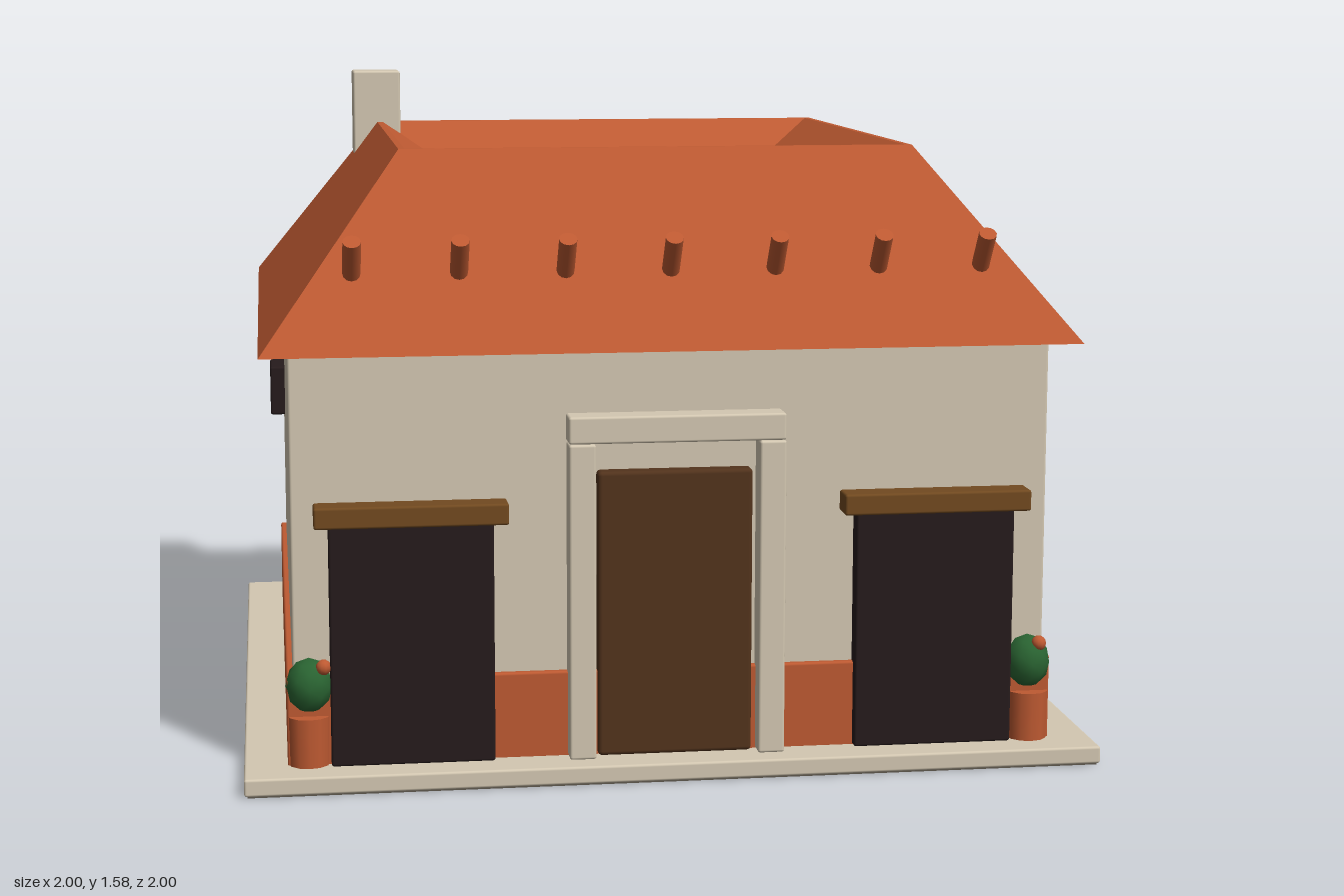
import * as THREE from 'three';
import { RoundedBoxGeometry } from 'three/addons/geometries/RoundedBoxGeometry.js';

const paint = (name, color) => {
  const m = new THREE.MeshStandardMaterial({ color });
  m.name = name;
  return m;
};

export function createModel() {
  const plaster = paint('plaster', 0xd4c8b2);
  const terracotta = paint('terracotta', 0xbe5a32);
  const darkOpening = paint('dark opening', 0x261b1c);
  const doorWood = paint('door wood', 0x52331c);
  const beamWood = paint('beam wood', 0x724a20);
  const leaf = paint('leaf green', 0x2a6432);
  const water = paint('water', 0x3e80b4);
  const footing = paint('dark footing', 0x5f584d);

  const house = new THREE.Group();
  house.name = 'courtyardHouse';

  const add = (name, geometry, material, x = 0, y = 0, z = 0) => {
    const mesh = new THREE.Mesh(geometry, material);
    mesh.name = name;
    mesh.position.set(x, y, z);
    house.add(mesh);
    return mesh;
  };
  // Softly bevelled box given by its extents
  const box = (name, material, [x0, x1], [y0, y1], [z0, z1], bevel = 0.006) =>
    add(name, new RoundedBoxGeometry(x1 - x0, y1 - y0, z1 - z0, 2, bevel), material,
      (x0 + x1) / 2, (y0 + y1) / 2, (z0 + z1) / 2);

  // Base, walls and painted skirting
  add('footing', new THREE.BoxGeometry(1.985, 0.008, 1.985), footing, 0, 0.004, 0);
  box('baseSlab', plaster, [-1, 1], [0.004, 0.045], [-1, 1]);
  box('walls', plaster, [-0.885, 0.885], [0.03, 1.0], [-0.885, 0.885]);
  box('skirting', terracotta, [-0.9, 0.9], [0.04, 0.246], [-0.9, 0.9]);

  // Hipped roof falling inward to a square light well: [half width, height]
  const profile = [
    [0.27, 0.997], [0.95, 0.997], [0.615, 1.44], [0.6, 1.44], [0.27, 1.22], [0.27, 0.997],
  ].map(([half, y]) => new THREE.Vector2(half * Math.SQRT2, y));
  const roof = new THREE.LatheGeometry(profile, 4, Math.PI / 4).toNonIndexed();
  roof.computeVertexNormals();
  add('roof', roof, terracotta);
  box('pool', water, [-0.27, 0.27], [0.97, 1.04], [-0.27, 0.27]);
  box('chimney', plaster, [-0.68, -0.551], [1.2, 1.58], [-0.68, -0.551]);

  // Row of roof beams poking out of the front slope
  const beam = new THREE.CylinderGeometry(0.021, 0.021, 0.2, 12);
  for (let i = -3; i <= 3; i++) {
    add('roofBeam', beam, terracotta, i * 0.245, 1.17, 0.816).rotation.x = 0.65;
  }

  // Front door with its surround
  box('door', doorWood, [-0.183, 0.178], [0.045, 0.717], [0.86, 0.92], 0.01);
  box('doorLintel', plaster, [-0.253, 0.25], [0.787, 0.85], [0.87, 0.95]);

  for (const s of [-1, 1]) {
    const span = (a, b) => (s > 0 ? [a, b] : [-b, -a]);
    box('doorPost', plaster, span(0.19, 0.252), [0.045, 0.785], [0.87, 0.945]);

    // Shop openings and their timber lintels
    box('shopOpening', darkOpening, span(0.423, 0.8), [0.045, 0.608], [0.87, 0.925]);
    box('shopLintel', beamWood, span(0.39, 0.833), [0.605, 0.655], [0.87, 0.95]);

    // Side window
    box('sideWindow', darkOpening, span(0.86, 0.923), [0.673, 0.803], [-0.41, -0.257]);

    // Potted plant at the corner
    add('plantPot', new THREE.CylinderGeometry(0.05, 0.048, 0.12, 12), terracotta, s * 0.85, 0.1, 0.885);
    const bush = new THREE.IcosahedronGeometry(0.055, 1).scale(1, 1.18, 1);
    add('plantBush', bush, leaf, s * 0.848, 0.23, 0.885);
    add('plantFlower', new THREE.SphereGeometry(0.018, 10, 8), terracotta, s * 0.842 + 0.027, 0.278, 0.912);
  }

  return house;
}
